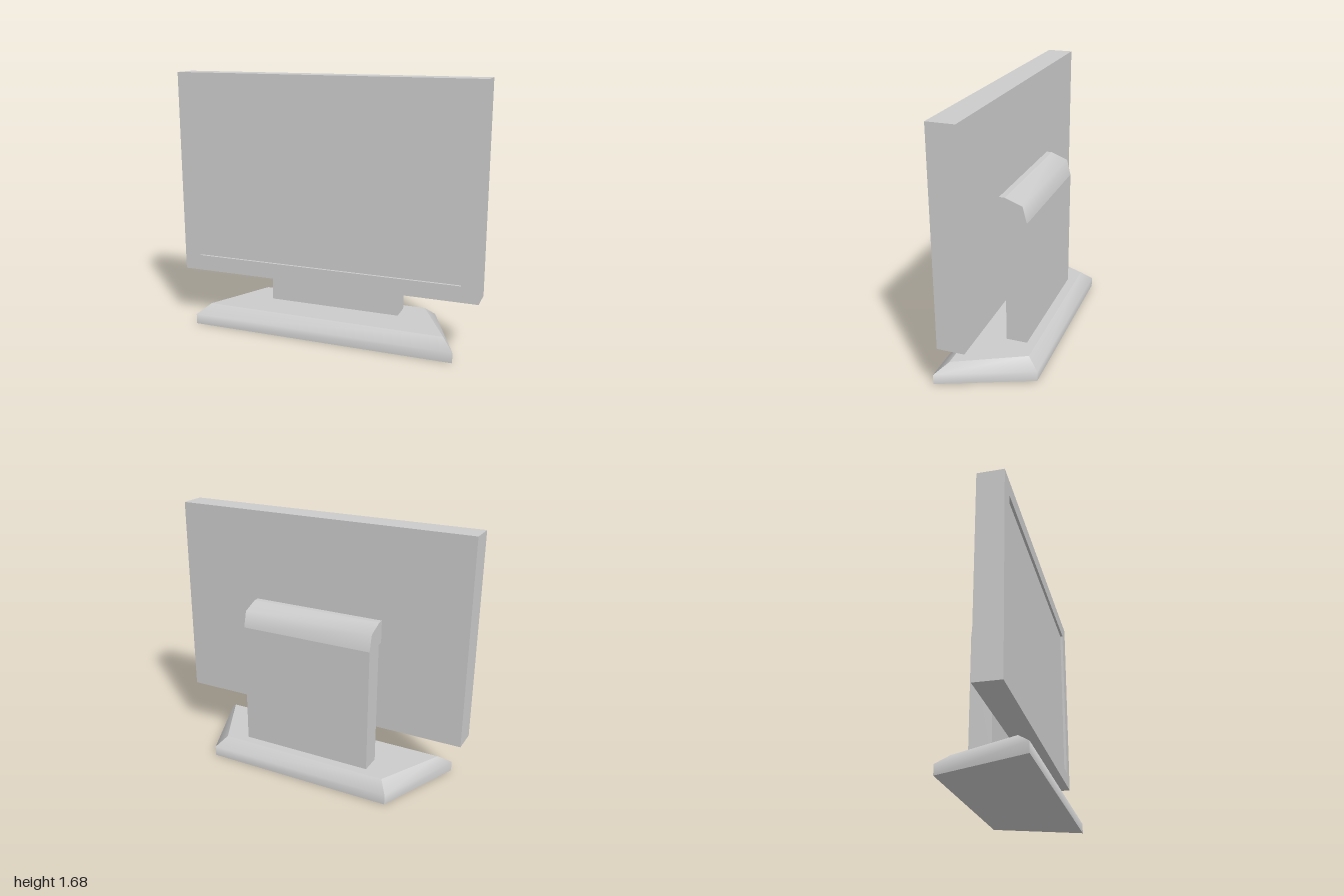
import * as THREE from 'three';
import { mergeGeometries } from 'three/addons/utils/BufferGeometryUtils.js';

const material = new THREE.MeshStandardMaterial({ color: 0xcccccc });

function addMesh(parent, name, geometry) {
  const mesh = new THREE.Mesh(geometry, material);
  mesh.name = name;
  parent.add(mesh);
  return mesh;
}

// Smooth strip between two edges; seen from outside, a is on the left and runs upward.
function strip(a, b) {
  const n = a.length;
  const index = [];
  for (let i = 0; i < n - 1; i++) index.push(i, n + i, n + i + 1, i, n + i + 1, i + 1);
  const geometry = new THREE.BufferGeometry();
  geometry.setAttribute('position', new THREE.Float32BufferAttribute([...a, ...b].flat(), 3));
  geometry.setIndex(index);
  geometry.computeVertexNormals();
  return geometry;
}

// Trapezoid with a chamfered top; each wall blends smoothly into its chamfer.
function baseGeometry() {
  const ring = (y, front, frontX, back, backX) =>
    [[-frontX, y, front], [frontX, y, front], [backX, y, back], [-backX, y, back]];
  const rings = [
    ring(0, 0.288, 0.875, -0.29, 0.635),
    ring(0.065, 0.288, 0.875, -0.29, 0.635),
    ring(0.127, 0.212, 0.8, -0.217, 0.58),
  ];
  const parts = [];
  for (let k = 0; k < 4; k++) {
    parts.push(strip(rings.map((r) => r[k]), rings.map((r) => r[(k + 1) % 4])));
  }
  const [bottom, , top] = rings;
  parts.push(strip([top[0], top[3]], [top[1], top[2]]));
  parts.push(strip([bottom[3], bottom[0]], [bottom[2], bottom[1]]));
  return mergeGeometries(parts.map((g) => { g.deleteAttribute('uv'); return g; }));
}

// Hooked side profile swept across the width, with a softly shaded shoulder.
function armGeometry() {
  const half = 0.447;
  const profile = [
    [-0.02, 0.127], [-0.02, 0.94], [0.017, 0.94], [0.017, 1.087],
    [-0.02, 1.087], [-0.13, 1.045], [-0.157, 0.94], [-0.157, 0.127],
  ];
  const faces = [[0, 1], [1, 2], [2, 3], [3, 4], [4, 5, 6], [6, 7], [7, 0]];
  const edge = (face, x) => face.map((i) => [x, profile[i][1], profile[i][0]]);
  const parts = faces.map((f) => strip(edge(f, -half), edge(f, half)));
  for (const side of [-1, 1]) {
    const shape = new THREE.Shape(profile.map(([z, y]) => new THREE.Vector2(-side * z, y)));
    const cap = new THREE.ShapeGeometry(shape);
    cap.rotateY(side * Math.PI / 2).translate(side * half, 0, 0);
    cap.deleteAttribute('uv');
    parts.push(cap);
  }
  return mergeGeometries(parts);
}

function rectangle(target, x, y0, y1) {
  target.moveTo(-x, y0);
  target.lineTo(x, y0);
  target.lineTo(x, y1);
  target.lineTo(-x, y1);
  target.closePath();
  return target;
}

export function createModel() {
  const model = new THREE.Group();
  model.name = 'monitor';

  // Stand
  addMesh(model, 'standBase', baseGeometry());
  addMesh(model, 'standArm', armGeometry());

  // Housing with a window for the screen
  const back = 0.017, front = 0.186;
  const outline = rectangle(new THREE.Shape(), 1, 0.35, 1.676);
  outline.holes.push(rectangle(new THREE.Path(), 0.89, 0.453, 1.575));
  const housing = new THREE.ExtrudeGeometry(outline, { depth: front - back, bevelEnabled: false });
  addMesh(model, 'housing', housing.translate(0, 0, back));

  // Screen block, slightly recessed, closing the back of the housing
  const depth = front - back - 0.017;
  const screen = addMesh(model, 'screen', new THREE.BoxGeometry(1.78, 1.122, depth));
  screen.position.set(0, 1.014, back + depth / 2);

  return model;
}
